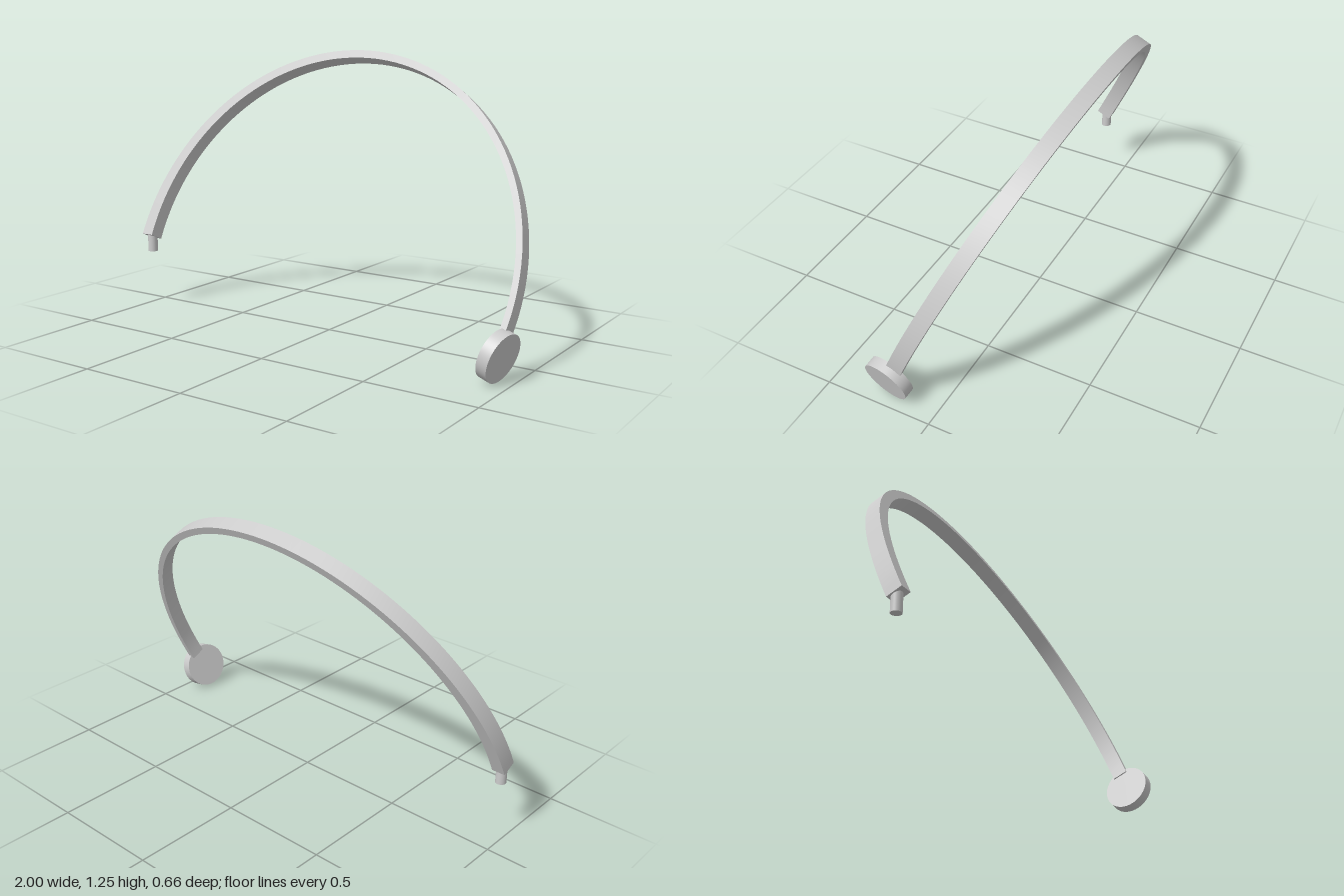
import * as THREE from 'three';
import { toCreasedNormals } from 'three/addons/utils/BufferGeometryUtils.js';

const TILT = THREE.MathUtils.degToRad(24.8);

// Rectangular strip swept along an arc in the xy plane, tapering in thickness
function bandGeometry(radius, width, start, end, segments) {
  const positions = [];
  const indices = [];
  for (let i = 0; i <= segments; i++) {
    const t = i / segments;
    const a = start + (end - start) * t;
    const half = (0.027 + 0.033 * (1 - t) ** 2) / 2;
    // outer front, outer back, inner back, inner front
    for (const [r, z] of [[half, 1], [half, -1], [-half, -1], [-half, 1]]) {
      positions.push((radius + r) * Math.cos(a), (radius + r) * Math.sin(a), z * width / 2);
    }
    if (i === segments) break;
    for (let k = 0; k < 4; k++) {
      const p = i * 4 + k;
      const q = i * 4 + (k + 1) % 4;
      indices.push(p, p + 4, q, q, p + 4, q + 4);
    }
  }
  // End caps
  const e = segments * 4;
  indices.push(0, 1, 2, 0, 2, 3, e, e + 2, e + 1, e, e + 3, e + 2);
  const geometry = new THREE.BufferGeometry();
  geometry.setAttribute('position', new THREE.Float32BufferAttribute(positions, 3));
  geometry.setIndex(indices);
  return toCreasedNormals(geometry, Math.PI / 6);
}

export function createModel() {
  const group = new THREE.Group();
  const material = new THREE.MeshStandardMaterial({ color: 0xcccccc });
  const add = (name, geometry, x, y, z) => {
    const mesh = new THREE.Mesh(geometry, material);
    mesh.name = name;
    mesh.position.set(x, y, z);
    group.add(mesh);
    return mesh;
  };

  // Arched band leaning backwards
  const end = THREE.MathUtils.degToRad(-10);
  const band = add('band', bandGeometry(0.967, 0.071, Math.PI, end, 80), -0.003, 0.338, 0.114);
  band.rotation.x = -TILT;

  // Upright pin under the right end
  add('pin', new THREE.CylinderGeometry(0.023, 0.023, 0.09, 32), -0.97, 0.31, 0.108);

  // Round pad at the left end, facing outward, slightly down and forward
  const pad = add('pad', new THREE.CylinderGeometry(0.107, 0.107, 0.05, 64), 0.941, 0.11, 0.223);
  const axis = new THREE.Vector3(0.95, -0.28, 0.15).normalize();
  pad.quaternion.setFromUnitVectors(new THREE.Vector3(0, 1, 0), axis);

  return group;
}
